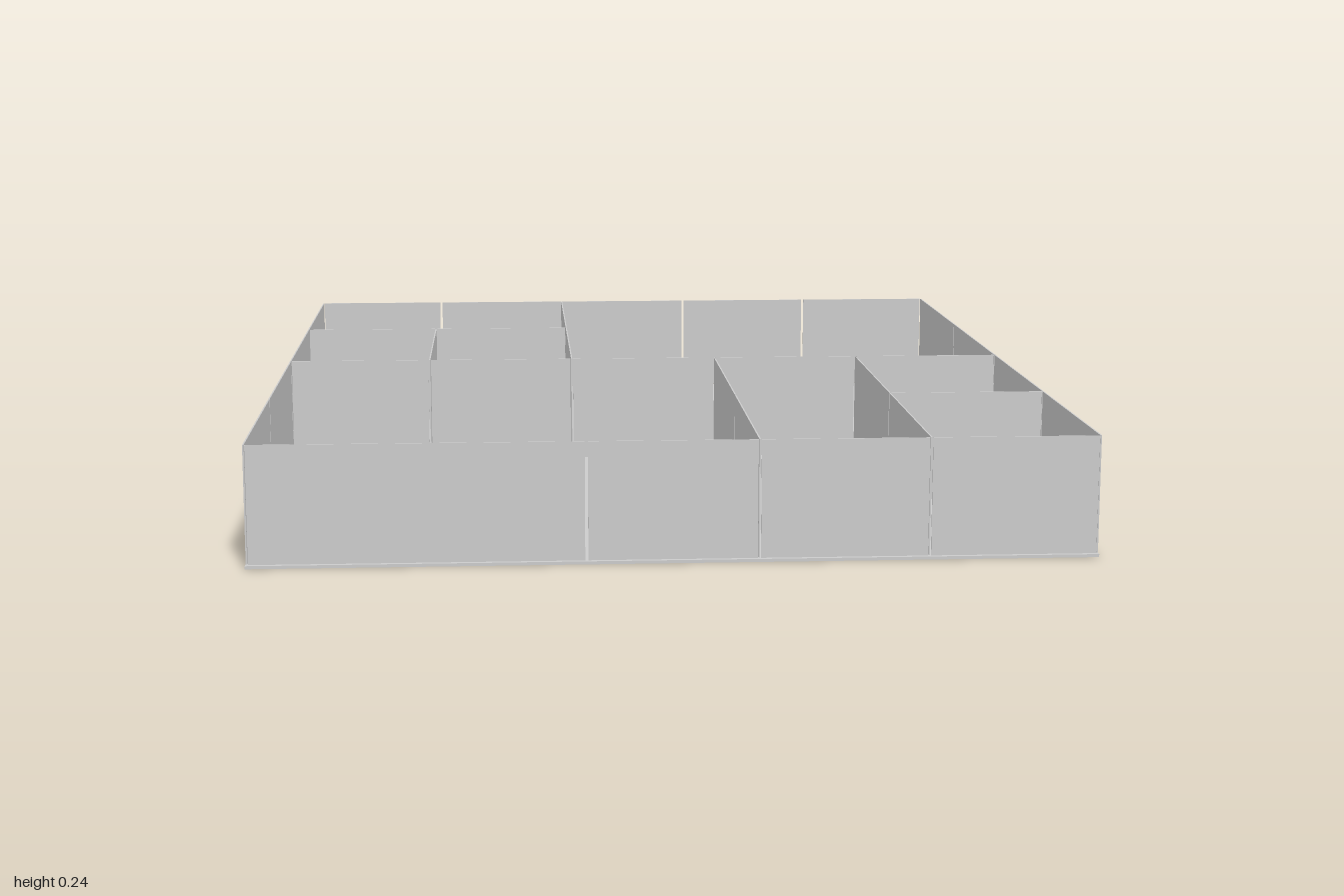
import * as THREE from 'three';

export function createModel() {
  const group = new THREE.Group();
  const material = new THREE.MeshStandardMaterial({ color: 0xcccccc, flatShading: true, side: THREE.DoubleSide });

  const X = 0.819, Z = 0.998;          // outer wall centre lines
  const base = 0.008, top = 0.24;      // wall bottom and top
  const thick = 0.003, gap = 0.006;    // wall thickness and seam between panels

  function box(name, w, h, d, x, y, z) {
    const mesh = new THREE.Mesh(new THREE.BoxGeometry(w, h, d), material);
    mesh.name = name;
    mesh.position.set(x, y, z);
    group.add(mesh);
  }

  // A run of upright panels split at the given stops, along x or along z
  function wall(name, axis, at, stops) {
    for (let i = 0; i + 1 < stops.length; i++) {
      const length = stops[i + 1] - stops[i] - gap;
      const mid = (stops[i] + stops[i + 1]) / 2;
      const h = top - base, y = (top + base) / 2;
      if (axis === 'x') box(name, length, h, thick, mid, y, at);
      else box(name, thick, h, length, at, y, mid);
    }
  }

  // Floor slab
  box('floor', 1.644, 0.006, 2, 0, 0.003, 0);

  // Column lines of the plan
  const a = -0.5, b = -0.172, c = 0.16, d = 0.49;

  // Outer walls
  wall('frontWall', 'x', Z, [-X, b, c, d, X]);
  wall('backWall', 'x', -Z, [-X, a, c, d, X]);
  wall('leftWall', 'z', X, [-Z, -0.5, 0, 0.5, Z]);
  wall('rightWall', 'z', -X, [-Z, 0, 0.5, Z]);

  // Middle wall between the front and back halves
  wall('middleWall', 'x', 0, [-X, a, b, c, d, X]);

  // Partitions of the back half
  wall('backPartition', 'z', b, [-Z, -0.5, 0]);
  wall('backCrossPartition', 'x', -0.5, [-X, a, b]);
  wall('backSmallPartition', 'z', a, [-0.5, 0]);

  // Partitions of the front half
  wall('frontPartition', 'z', c, [0, 0.5, Z]);
  wall('frontInnerPartition', 'z', d, [0, 0.5, Z]);
  wall('frontCrossPartition', 'x', 0.5, [d, X]);

  return group;
}
